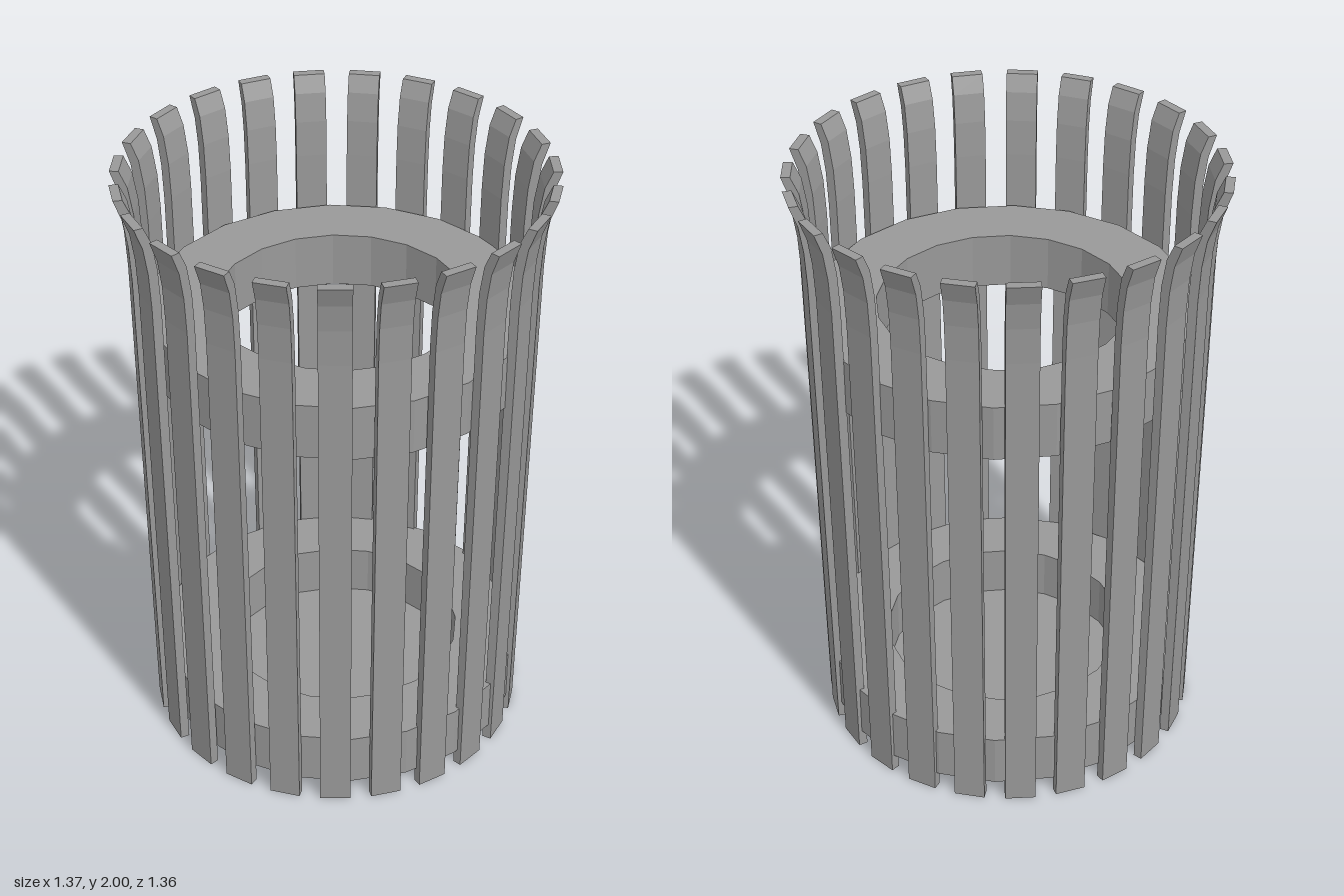
import * as THREE from 'three';

const SLATS = 23;
const SLAT_WIDTH = 0.1;

export function createModel() {
  const group = new THREE.Group();
  group.name = 'slattedBin';
  const grey = new THREE.MeshStandardMaterial({ color: 0x999999 });
  grey.name = 'grey';
  grey.flatShading = true;

  // Upright slat: side profile (radius, height) flaring out at the rim
  const profile = [
    [0.587, 0], [0.617, 0], [0.637, 1.72], [0.643, 1.84], [0.656, 1.93], [0.681, 2],
    [0.652, 2], [0.628, 1.945], [0.613, 1.85], [0.607, 1.73],
  ].map(([r, y]) => new THREE.Vector2(r, y));
  const slatGeometry = new THREE.ExtrudeGeometry(new THREE.Shape(profile), {
    depth: SLAT_WIDTH, bevelEnabled: false,
  });
  slatGeometry.translate(0, 0, -SLAT_WIDTH / 2);

  const slats = new THREE.Group();
  slats.name = 'slats';
  for (let i = 0; i < SLATS; i++) {
    const slat = new THREE.Mesh(slatGeometry, grey);
    slat.name = 'slat';
    slat.rotation.y = (i / SLATS) * Math.PI * 2 + 0.022 - Math.PI / 2;
    slats.add(slat);
  }
  group.add(slats);

  // Twenty-sided bands inside the slats
  const addBand = (name, points) => {
    const geometry = new THREE.LatheGeometry(points.map(([r, y]) => new THREE.Vector2(r, y)), 20);
    const band = new THREE.Mesh(geometry, grey);
    band.name = name;
    band.position.set(0.01, 0, -0.008);
    group.add(band);
  };

  // Upper hoop, open in the middle
  addBand('upperHoop', [[0.4, 1.36], [0.6, 1.36], [0.6, 1.545], [0.4, 1.545], [0.4, 1.36]]);
  // Lower hoop, closed by a thin floor
  addBand('lowerHoopWithFloor', [[0, 0.06], [0.6, 0.06], [0.6, 0.243], [0.4, 0.243], [0.4, 0.065], [0, 0.065]]);

  return group;
}
